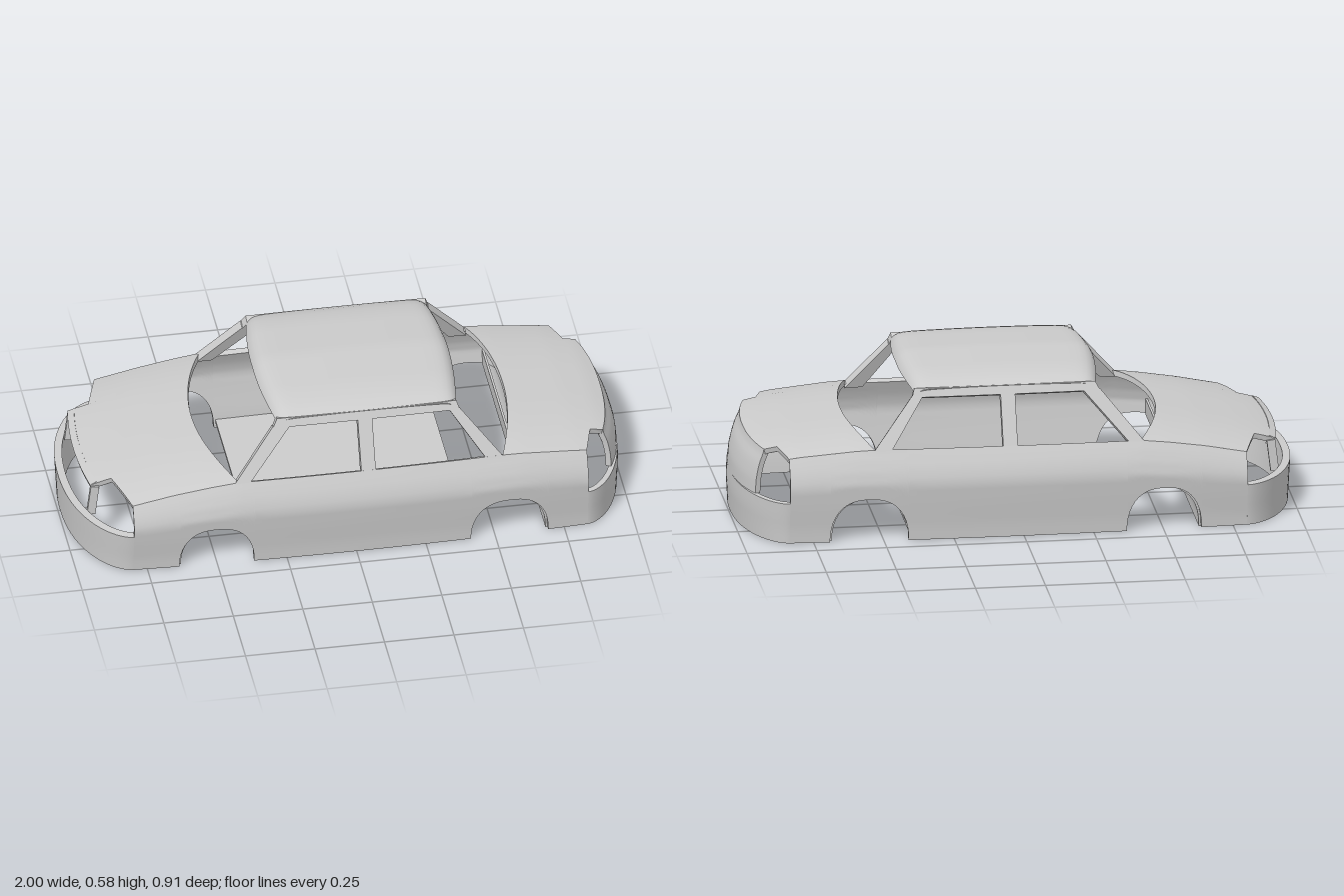
import * as THREE from 'three';
import { mergeGeometries } from 'three/addons/utils/BufferGeometryUtils.js';

const material = new THREE.MeshStandardMaterial({ color: 0xcccccc, side: THREE.DoubleSide });
const V = (x, y, z) => new THREE.Vector3(x, y, z);
const range = (a, b, n) => Array.from({ length: n + 1 }, (_, i) => a + (b - a) * i / n);
// samples from -1 to 1, denser toward both ends
const eased = n => range(-1, 1, n).map(k => Math.sin(k * Math.PI / 2));
const lerp = THREE.MathUtils.lerp;

// piecewise linear lookup
function table(points, x) {
  if (x <= points[0][0]) return points[0][1];
  for (let i = 1; i < points.length; i++) {
    const [x0, y0] = points[i - 1], [x1, y1] = points[i];
    if (x <= x1) return lerp(y0, y1, (x - x0) / (x1 - x0));
  }
  return points[points.length - 1][1];
}

// smooth surface through a grid of points
function surface(rows) {
  const n = rows[0].length, index = [];
  for (let i = 0; i < rows.length - 1; i++) {
    for (let j = 0; j < n - 1; j++) {
      const a = i * n + j, b = a + n;
      index.push(a, b, a + 1, b, b + 1, a + 1);
    }
  }
  const g = new THREE.BufferGeometry().setFromPoints(rows.flat());
  g.setIndex(index);
  g.computeVertexNormals();
  return g;
}

// sheet-metal panel: outer skin, inner skin and rim, thickened toward the cabin
function panel(name, rows, thickness = 0.02) {
  let outer = surface(rows);
  const n = rows[0].length;
  const normalAt = (g, k) => V().fromBufferAttribute(g.attributes.normal, k);
  const mid = [rows.length >> 1, n >> 1];
  const out = rows[mid[0]][mid[1]].clone().sub(V(0, 0.2, 0));
  if (normalAt(outer, mid[0] * n + mid[1]).dot(out) < 0) {
    rows = rows.slice().reverse();
    outer = surface(rows);
  }
  const inner = rows.map((r, i) => r.map((p, j) =>
    p.clone().addScaledVector(normalAt(outer, i * n + j), -thickness)));
  const last = rows.length - 1;
  const rim = [
    surface([rows[0], inner[0]]),
    surface([inner[last], rows[last]]),
    surface([inner.map(r => r[0]), rows.map(r => r[0])]),
    surface([rows.map(r => r[n - 1]), inner.map(r => r[n - 1])]),
  ];
  const back = surface(inner.slice().reverse());
  const mesh = new THREE.Mesh(mergeGeometries([outer, back, ...rim]), material);
  mesh.name = name;
  return mesh;
}

// body proportions
const SIDE_PROFILE = [[0, 0.43], [0.05, 0.434], [0.14, 0.447], [0.215, 0.456], [0.26, 0.445], [0.3, 0.428], [0.33, 0.412]];
const RIDGE = [[-0.95, 0.26], [-0.88, 0.281], [-0.8, 0.3], [-0.65, 0.33], [-0.52, 0.35], [-0.42, 0.362],
  [0.52, 0.365], [0.6, 0.362], [0.8, 0.345], [0.9, 0.33], [0.95, 0.315]];
const REAR_PROFILE = [[0, 0.995], [0.1, 1], [0.2, 0.993], [0.27, 0.98], [0.3, 0.965], [0.315, 0.95]];
const NOSE = -0.8, TAIL = 0.835;
const CROWN = 0.032;

const belt = x => table(RIDGE, x) - CROWN;
const taper = x => 1 - 0.055 * (x / 0.84) ** 2;
const halfWidth = (x, y) => table(SIDE_PROFILE, y + Math.max(0, 0.33 - belt(x)) * y / 0.33) * taper(x);
const topPoint = (x, t) => V(x, table(RIDGE, x) - CROWN * Math.abs(t) ** 3, t * halfWidth(x, belt(x)));
// rounded plan of the nose and tail: 0 at the middle, 1 at the corner
const corner = t => 1 - Math.max(0, 1 - Math.abs(t) ** 2.2) ** 0.6;
const rearX = (y, t) => lerp(table(REAR_PROFILE, y), TAIL, corner(t));

// wheel arches: centre and half width
const ARCHES = [[-0.502, 0.134], [0.552, 0.14]];
const archHeight = s => 0.16 * Math.max(0, 1 - s ** 2.6) ** (1 / 2.2);
function sill(x) {
  for (const [c, r] of ARCHES) {
    const s = Math.abs(x - c) / r;
    if (s < 1) return archHeight(s);
  }
  return 0;
}

function sidePanel(side) {
  const arches = ARCHES.flatMap(([c, r]) => eased(24).map(k => c + r * 1.0001 * k));
  const xs = [...range(NOSE, -0.66, 3), ...range(-0.33, 0.38, 12), ...range(0.72, TAIL, 3), ...arches].sort((a, b) => a - b);
  return panel('sidePanel', xs.map(x => range(0, 1, 14).map(v => {
    const y = lerp(sill(x), belt(x), v);
    return V(x, y, side * halfWidth(x, y));
  })));
}

// cabin side frame: pillars and roof rail on the inward-leaning window plane
function cabinSide(side) {
  const g = new THREE.Group();
  g.name = 'cabinSide';
  const strips = [
    ['frontPillar', -0.435, -0.38, -0.285, -0.222, 0.325, 0.505],
    ['centrePillar', 0.02, 0.072, 0.02, 0.072, 0.325, 0.505],
    ['rearPillar', 0.472, 0.535, 0.348, 0.388, 0.325, 0.505],
    ['roofRail', -0.285, 0.388, -0.268, 0.378, 0.5, 0.531],
  ];
  for (const [name, a0, a1, b0, b1, y0, y1] of strips) {
    g.add(panel(name, range(0, 1, 10).map(u => range(0, 1, 4).map(v => {
      const x = lerp(lerp(a0, a1, u), lerp(b0, b1, u), v), y = lerp(y0, y1, v);
      return V(x, y, side * (lerp(0.412, 0.325, (y - 0.33) / 0.2) - 0.03 * x * x));
    })), 0.032));
  }
  return g;
}

function roof() {
  const ys = [[0, 0.577], [0.2, 0.565], [0.26, 0.555], [0.3, 0.544], [0.326, 0.53]];
  return panel('roof', eased(28).map(u => range(-0.326, 0.326, 20).map(z => {
    const q = (z / 0.326) ** 2;
    const x = lerp(-0.3 + 0.035 * q, 0.405 - 0.03 * q, (u + 1) / 2);
    const drop = 0.007 * u * u + 0.038 * u ** 20;
    return V(x, table(ys, Math.abs(z)) - drop * (1 - 0.45 * q * q), z);
  })), 0.026);
}

// columns across the car, doubled where a lamp notch steps the edge
const across = (step) => [...range(-1, -step - 0.002, 6), ...range(-step, step, 20), ...range(step + 0.002, 1, 6)];

function hood() {
  const step = 0.585;
  return panel('hood', across(step).map(t => {
    const a = Math.abs(t);
    const front = a <= step ? -0.945 + 0.02 * (a / step) ** 2 : lerp(-0.85, NOSE, (a - step) / (1 - step));
    const base = -0.52 + 0.1 * t * t;
    return range(0, 1, 14).map(v => topPoint(lerp(base, front, v), t));
  }));
}

const DECK_STEP = 0.73;
function trunkLid() {
  return panel('trunkLid', across(DECK_STEP).map(t => {
    const a = Math.abs(t);
    const end = a <= DECK_STEP ? rearX(0.315, t) : lerp(0.865, TAIL, (a - DECK_STEP) / (1 - DECK_STEP));
    const base = 0.6 - 0.07 * t * t;
    return range(0, 1, 14).map(v => topPoint(lerp(base, end, v), t));
  }));
}

// cross-car liner over the outer part of a wheel arch, topped by a short wall
function wheelLiner([c, r], dir) {
  const profile = range(1, 0, 12).map(k => 0.4 + 0.6 * Math.sin(k * Math.PI / 2))
    .map(s => [c + dir * r * s, archHeight(s)]);
  profile.push([c + dir * r * 0.4, 0.21]);
  return panel('wheelLiner', profile.map(([x, y]) => range(-1, 1, 2).map(s =>
    V(x, y, s * (halfWidth(x, y) - 0.015)))), 0.008);
}

export function createModel() {
  const car = new THREE.Group();
  car.name = 'carBody';
  for (const side of [1, -1]) car.add(sidePanel(side), cabinSide(side));
  car.add(roof(), hood(), trunkLid());
  car.add(wheelLiner(ARCHES[0], -1), wheelLiner(ARCHES[1], 1));

  // wrap-around front bumper
  car.add(panel('frontBumper', eased(44).map(t => range(0, 0.155, 6).map(y =>
    V(lerp(-1 + 0.008 * (1 - y / 0.155), NOSE, corner(t)), y, t * halfWidth(NOSE, y)))), 0.028));

  // rear bumper and the tail face between the lamps
  car.add(panel('rearBumper', eased(44).map(t => range(0, 0.152, 6).map(y =>
    V(rearX(y, t), y, t * halfWidth(TAIL, y))))));
  car.add(panel('tailFace', range(-DECK_STEP, DECK_STEP, 24).map(t => range(0, 1, 12).map(v => {
    const top = topPoint(rearX(0.315, t), t);
    return V(lerp(rearX(lerp(0.15, 0.315, v), t), top.x, v ** 4), lerp(0.15, top.y, v), top.z);
  }))));

  // lip under the leading edge of the hood
  car.add(panel('hoodLip', range(-0.585, 0.585, 16).map(t => {
    const p = topPoint(-0.945 + 0.02 * (t / 0.585) ** 2, t);
    return [V(p.x + 0.012, p.y - 0.03, p.z), p];
  }), 0.025));

  // posts between grille and headlight openings
  for (const side of [1, -1]) {
    const post = new THREE.Mesh(new THREE.BoxGeometry(0.03, 0.115, 0.016), material);
    post.name = 'grillePost';
    post.position.set(-0.915, 0.198, side * 0.232);
    post.rotation.z = -0.12;
    car.add(post);
  }

  // cabin floor
  car.add(panel('floor', range(-0.362, 0.408, 4).map(x => range(-1, 1, 2).map(s =>
    V(x, 0.022, s * (halfWidth(x, 0) - 0.015)))), 0.012));
  return car;
}
